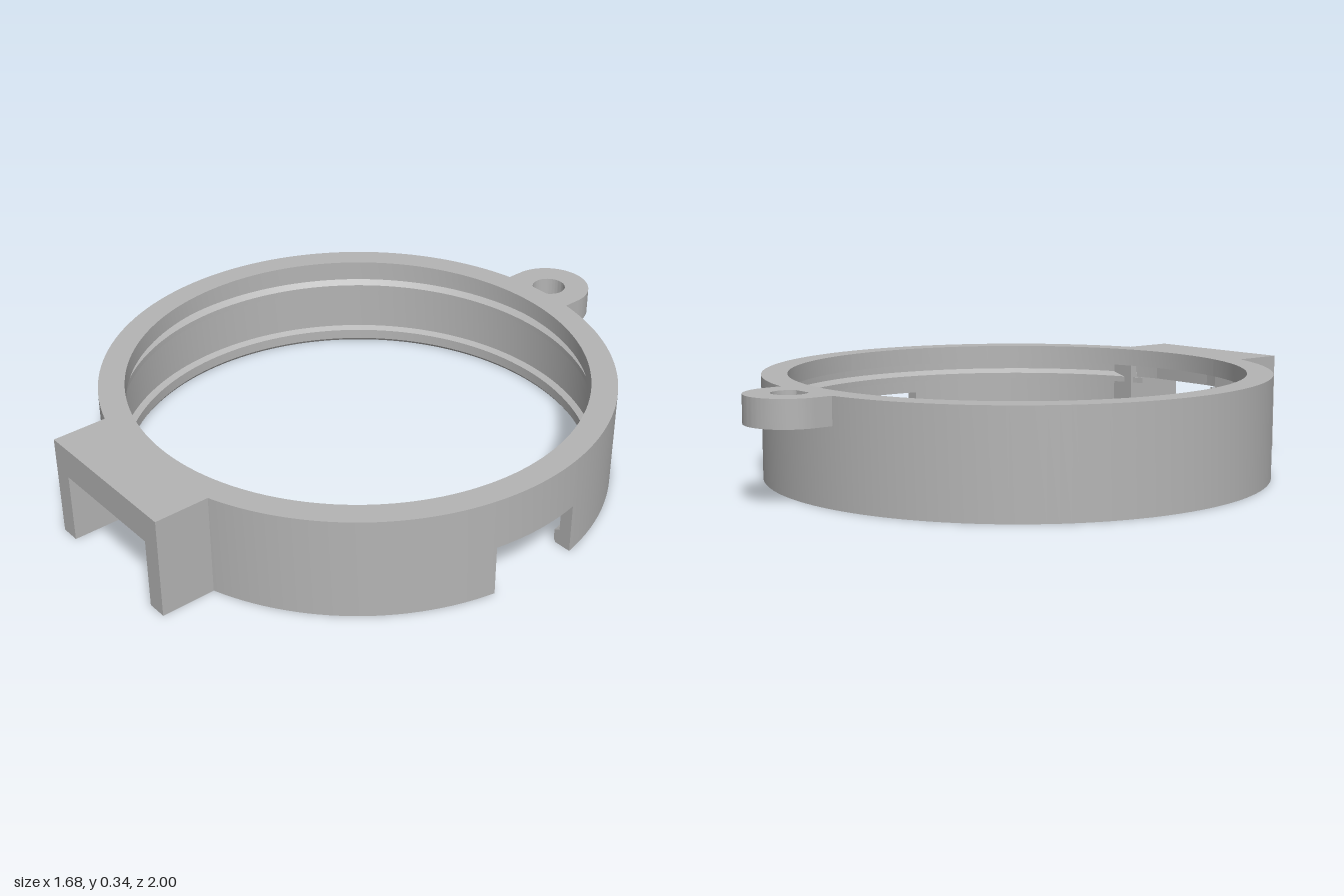
import * as THREE from 'three';
import { toCreasedNormals, mergeGeometries } from 'three/addons/utils/BufferGeometryUtils.js';

const CZ = 0.025;   // ring centre in z
const TOP = 0.34;   // overall height
const R = 0.84;     // outer radius

// Sweeps a closed (radius, y) profile; start and end angles depend on radius,
// so that the ends can be cut by straight planes.
function arc(profile, start, end, segments) {
  const pts = profile.map(([r, y]) => new THREE.Vector2(r, y));
  const place = (geo, angleOf) => {
    const p = geo.attributes.position;
    for (let i = 0; i < p.count; i++) {
      const x = p.getX(i), z = p.getZ(i), r = Math.hypot(x, z);
      const a = angleOf(r, Math.atan2(x, z));
      p.setXYZ(i, r * Math.sin(a), p.getY(i), r * Math.cos(a) + CZ);
    }
    return geo;
  };
  const body = place(new THREE.LatheGeometry([...pts, pts[0]], segments, 0, 1),
    (r, t) => start(r) + (end(r) - start(r)) * t);
  const capA = place(new THREE.ShapeGeometry(new THREE.Shape(pts)), start);
  const capB = place(new THREE.ShapeGeometry(new THREE.Shape(pts)), end);
  capB.index.array.reverse();
  return toCreasedNormals(mergeGeometries([body, capA, capB]), 0.5);
}

export function createModel() {
  const group = new THREE.Group();
  const grey = new THREE.MeshStandardMaterial({ color: 0xb4b4b4, side: THREE.DoubleSide });
  grey.name = 'plain grey';

  const add = (name, geo) => {
    const mesh = new THREE.Mesh(geo, grey);
    mesh.name = name;
    group.add(mesh);
  };
  const box = (name, x0, x1, y0, y1, z0, z1) => {
    const geo = new THREE.BoxGeometry(x1 - x0, y1 - y0, z1 - z0);
    geo.translate((x0 + x1) / 2, (y0 + y1) / 2, (z0 + z1) / 2);
    add(name, geo);
  };

  // Inner wall outline from the top down: lip, groove and sloped ridge
  const lip = [[R, TOP], [0.755, TOP], [0.755, 0.28], [0.795, 0.28]];
  const ridge = [[0.795, 0.25], [0.775, 0.235], [0.775, 0.215], [0.795, 0.215]];
  const foot = [[0.795, 0.055], [0.775, 0.045], [0.775, 0.01], [0.782, 0]];

  // Cut planes: front opening at x = +-0.21, side notch on the left
  const frontA = r => Math.asin(0.21 / r);
  const frontB = r => 2 * Math.PI - frontA(r);
  const sideA = r => Math.PI / 2 - Math.asin(0.16 / r);
  const sideB = r => Math.PI / 2 + Math.asin(0.16 / r);

  const full = [[R, 0], ...lip, ...ridge, ...foot];
  add('leftFrontWall', arc(full, frontA, sideA, 28));
  add('mainWall', arc(full, sideB, frontB, 100));
  add('wallOverSideNotch', arc([[R, 0.17], ...lip, ...ridge, [0.795, 0.17]], sideA, sideB, 10));
  add('wallOverFrontOpening', arc([[R, 0.235], ...lip, [0.795, 0.235]], r => -frontA(r), frontA, 14));

  // Thin ridge ends reaching into the front opening
  const tip = [[0.784, 0.215], [0.784, 0.235], [0.775, 0.235], [0.775, 0.215]];
  const tipEnd = r => Math.asin((0.17 + (r - 0.775) * 4.4) / r);
  add('ridgeTipLeft', arc(tip, tipEnd, frontA, 3));
  add('ridgeTipRight', arc(tip, r => -frontA(r), r => -tipEnd(r), 3));

  // Front housing: roof, two legs and the flat pads behind them
  box('housingRoof', -0.275, 0.275, 0.235, TOP, 0.81, 1);
  for (const [side, s] of [['Left', 1], ['Right', -1]]) {
    const span = (a, b) => (s > 0 ? [a, b] : [-b, -a]);
    box('housingLeg' + side, ...span(0.21, 0.275), 0, 0.235, CZ + 0.76, 1);
    box('housingPad' + side, ...span(0.21, 0.3), 0, 0.28, CZ + 0.735, CZ + 0.76);
  }

  // Hanging lug at the back
  const lug = new THREE.Shape();
  lug.moveTo(-0.14, 0.79);
  lug.lineTo(0.14, 0.79);
  lug.lineTo(0.14, 0.86);
  lug.absarc(0, 0.86, 0.14, 0, Math.PI, false);
  lug.closePath();
  const hole = new THREE.Path();
  hole.absarc(0, 0.86, 0.057, 0, 2 * Math.PI, true);
  lug.holes.push(hole);
  const lugGeo = new THREE.ExtrudeGeometry(lug, { depth: 0.09, bevelEnabled: false, curveSegments: 32 });
  lugGeo.rotateX(-Math.PI / 2);
  lugGeo.translate(0, 0.25, 0);
  add('hangingLug', toCreasedNormals(lugGeo, 0.5));

  return group;
}
